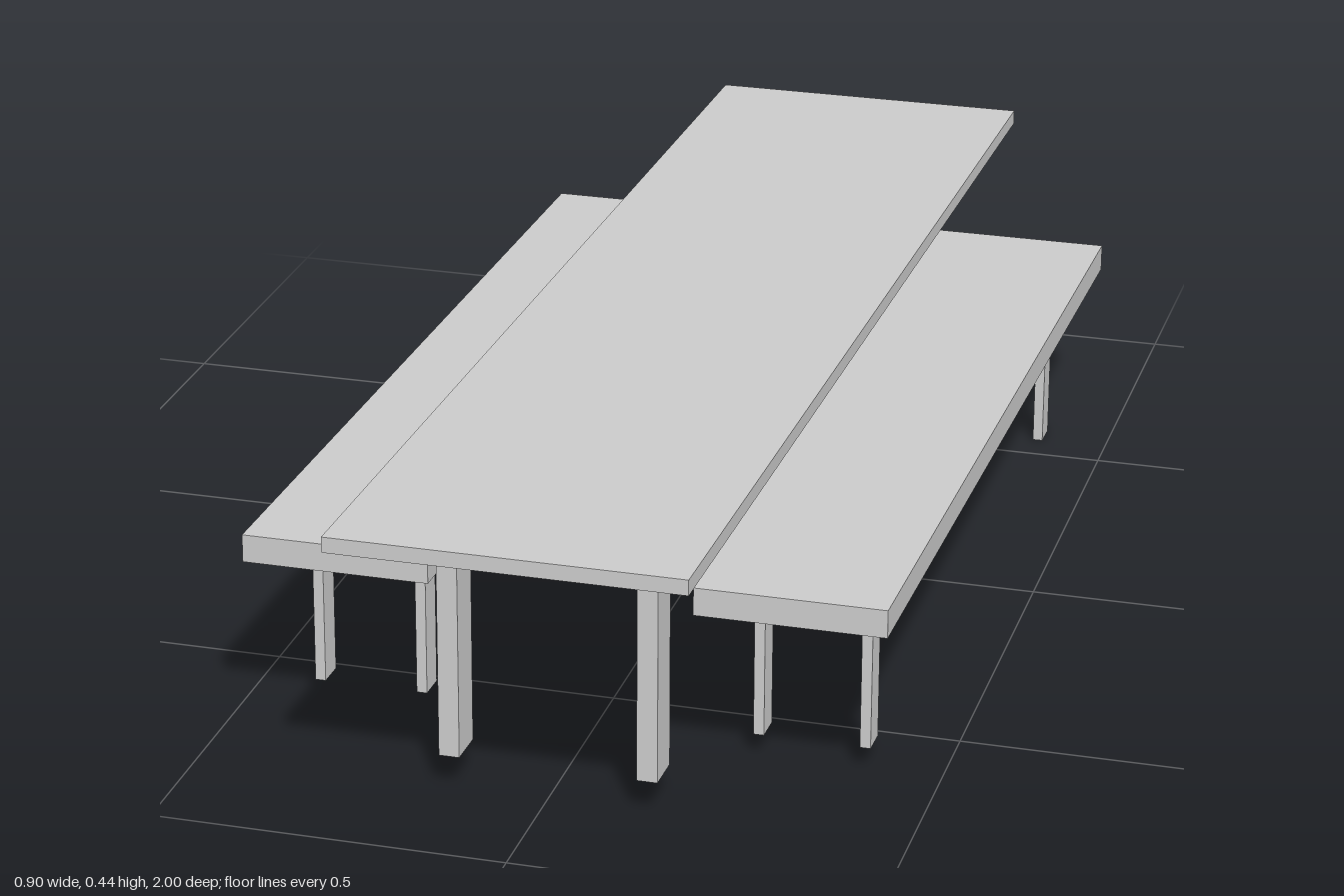
import * as THREE from 'three';

const material = new THREE.MeshStandardMaterial({ color: 0xcccccc });

// Box spanning bottom..top, centred on x and z
function slab(name, width, depth, bottom, top, x, z) {
  const mesh = new THREE.Mesh(new THREE.BoxGeometry(width, top - bottom, depth), material);
  mesh.name = name;
  mesh.position.set(x, (bottom + top) / 2, z);
  return mesh;
}

export function createModel() {
  const model = new THREE.Group();
  model.name = 'picnicTable';

  // Table: thin top on four pairs of legs
  const table = new THREE.Group();
  table.name = 'table';
  table.add(slab('tableTop', 0.493, 2.0, 0.3945, 0.4165, 0.0035, 0.011));
  for (const z of [0.795, 0.105, -0.082, -0.77]) {
    for (const x of [-0.136, 0.1425]) {
      table.add(slab('tableLeg', 0.029, 0.06, 0.03, 0.398, x, z));
    }
  }
  model.add(table);

  // Benches: thicker seat, legs near the ends, short pads under the middle
  for (const [name, seatX, legX] of [
    ['leftBench', 0.318, [0.242, 0.3925]],
    ['rightBench', -0.32, [-0.395, -0.245]],
  ]) {
    const bench = new THREE.Group();
    bench.name = name;
    bench.add(slab('benchSeat', 0.266, 1.487, 0.248, 0.288, seatX, 0.009));
    for (const x of legX) {
      for (const z of [0.595, -0.573]) {
        bench.add(slab('benchLeg', 0.015, 0.043, 0.017, 0.252, x, z));
      }
      for (const z of [0.09, -0.065]) {
        bench.add(slab('benchPad', 0.015, 0.043, 0.247, 0.252, x, z));
      }
    }
    model.add(bench);
  }

  // The whole set leans slightly, front end higher
  model.rotation.x = -0.0265;
  const root = new THREE.Group();
  root.name = 'picnicSet';
  root.add(model);
  return root;
}
